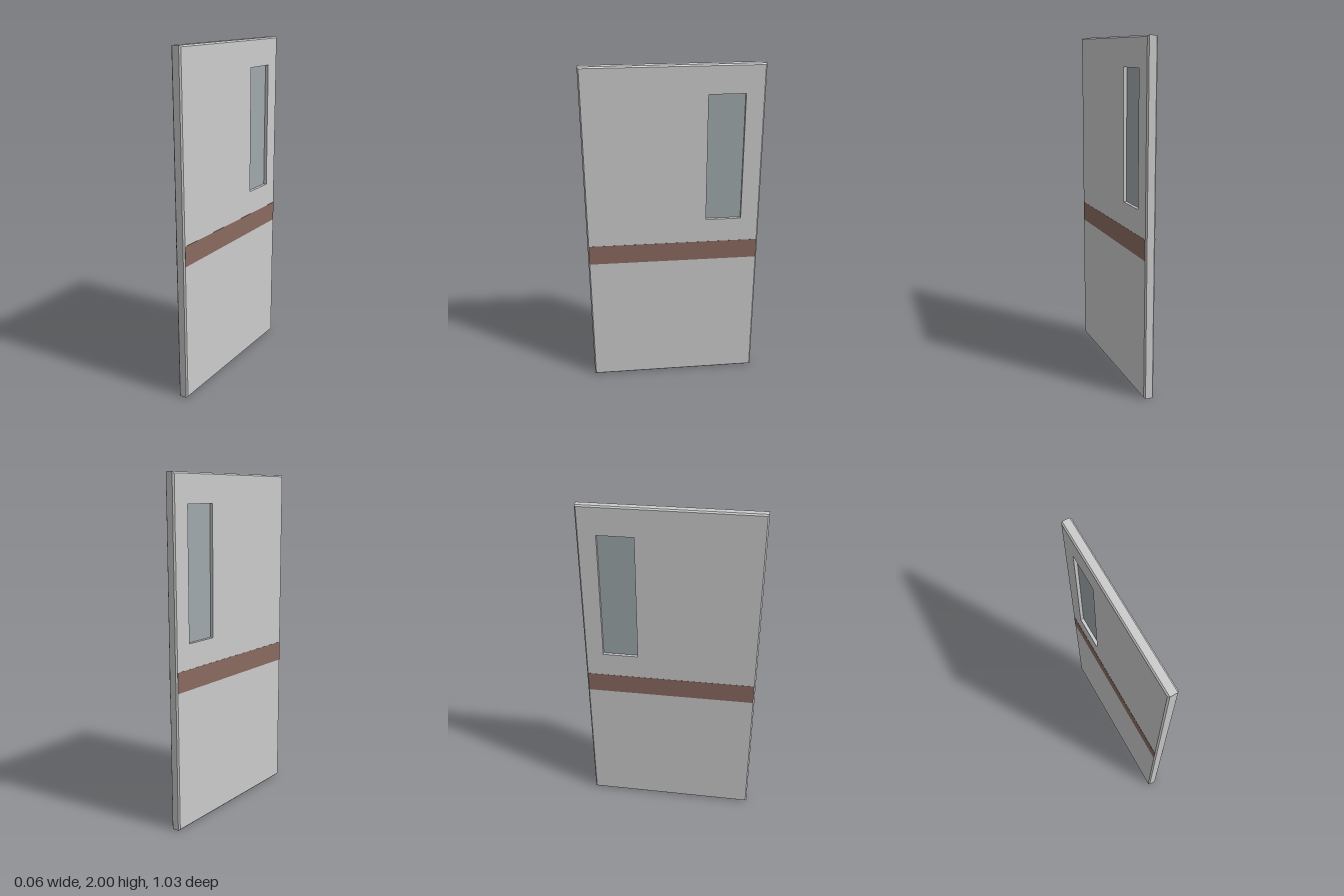
import * as THREE from 'three';

const W = 1.03, H = 2, T = 0.058, BEVEL = 0.008;
const WIN = { z0: -0.405, z1: -0.195, y0: 1.08, y1: 1.835 };

function rect(target, z0, y0, z1, y1) {
  target.moveTo(z0, y0);
  target.lineTo(z1, y0);
  target.lineTo(z1, y1);
  target.lineTo(z0, y1);
  target.closePath();
  return target;
}

// Slab with chamfered outer edges and a square-cut window opening
function panelGeometry() {
  const shape = rect(new THREE.Shape(), -W / 2, 0, W / 2, H);
  shape.holes.push(rect(new THREE.Path(), WIN.z0, WIN.y0, WIN.z1, WIN.y1));
  const geo = new THREE.ExtrudeGeometry(shape, {
    depth: T - 2 * BEVEL, bevelThickness: BEVEL, bevelSize: BEVEL,
    bevelOffset: -BEVEL, bevelSegments: 1,
  });
  geo.translate(0, 0, BEVEL - T / 2);

  // Snap the opening's vertices to its outline so only the outer rim is chamfered
  const p = geo.attributes.position;
  const near = (v, a, b) => (Math.abs(v - a) < Math.abs(v - b) ? a : b);
  const pad = 0.03;
  for (let i = 0; i < p.count; i++) {
    const x = p.getX(i), y = p.getY(i);
    if (x > WIN.z0 - pad && x < WIN.z1 + pad && y > WIN.y0 - pad && y < WIN.y1 + pad) {
      p.setXY(i, near(x, WIN.z0, WIN.z1), near(y, WIN.y0, WIN.y1));
    }
  }
  geo.computeVertexNormals();
  return geo.rotateY(-Math.PI / 2);
}

export function createModel() {
  const group = new THREE.Group();
  group.name = 'door';
  const add = (name, geo, color, x = 0, y = 0, z = 0) => {
    const mesh = new THREE.Mesh(geo, new THREE.MeshStandardMaterial({ color }));
    mesh.name = name;
    mesh.position.set(x, y, z);
    group.add(mesh);
  };

  add('doorPanel', panelGeometry(), 0xcccccc);

  // Glass pane recessed in the middle of the opening
  add('windowGlass',
    new THREE.BoxGeometry(0.02, WIN.y1 - WIN.y0, WIN.z1 - WIN.z0), 0x9fa9ac,
    0, (WIN.y0 + WIN.y1) / 2, (WIN.z0 + WIN.z1) / 2);

  // Slightly raised guard strip on each face
  for (const side of [1, -1]) {
    add(side > 0 ? 'leftStrip' : 'rightStrip',
      new THREE.BoxGeometry(0.002, 0.12, W - 2 * BEVEL), 0x8a6a61,
      side * (T / 2), 0.875, 0);
  }
  return group;
}
